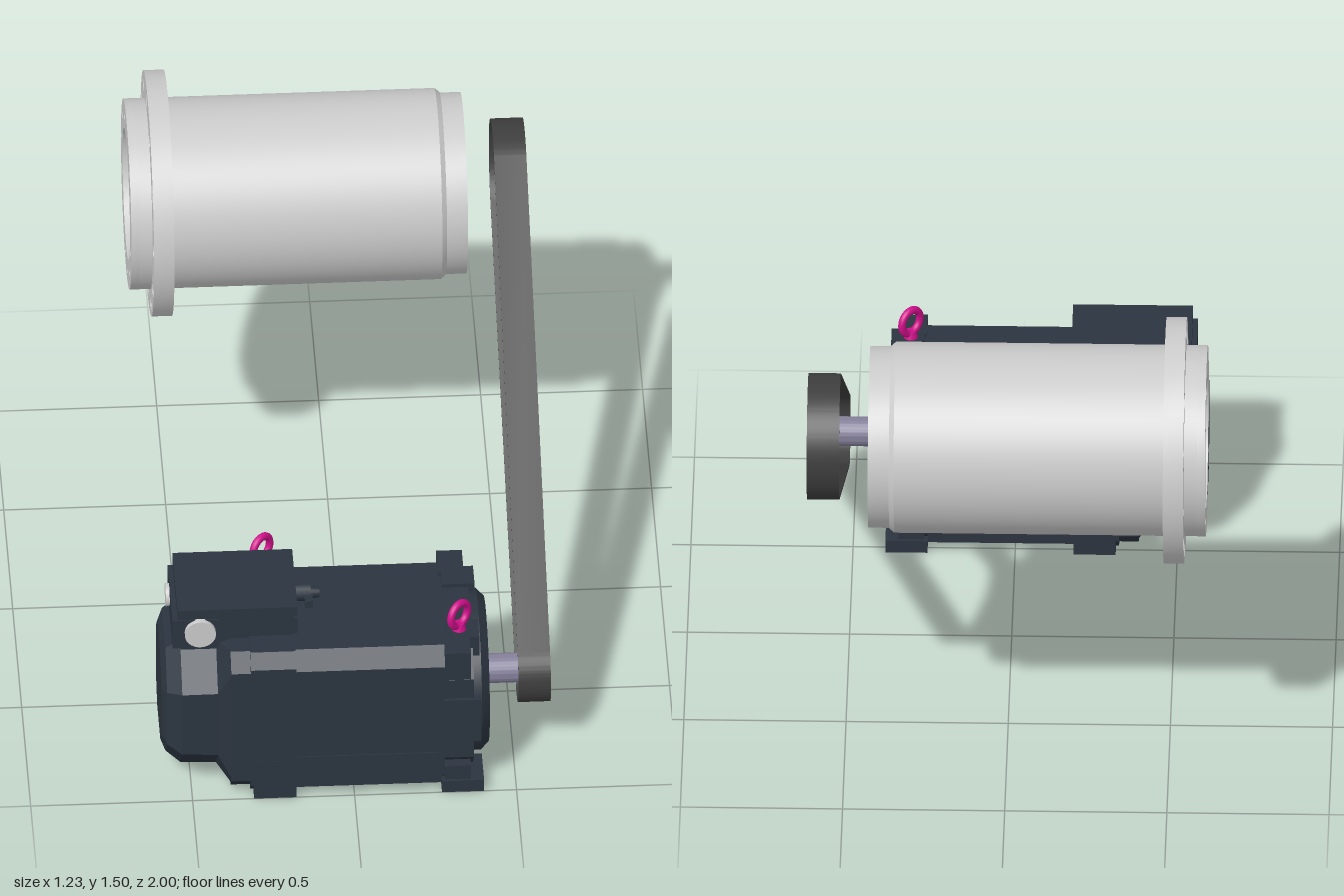
import * as THREE from 'three';
import { toCreasedNormals } from 'three/addons/utils/BufferGeometryUtils.js';

const material = (color) => new THREE.MeshStandardMaterial({ color });
const steel = material(0xcccccc);
const dark = material(0x2b343f);
const rubber = material(0x3e3e3e);
const pink = material(0xd0108a);
const shaftGrey = material(0x85809a);
const orange = material(0xe87a30);

function add(parent, name, geometry, mat, x = 0, y = 0, z = 0) {
  const mesh = new THREE.Mesh(geometry, mat);
  mesh.name = name;
  mesh.position.set(x, y, z);
  parent.add(mesh);
  return mesh;
}

// Box given by its limits along each axis
function block(parent, name, [x0, x1], [y0, y1], [z0, z1], mat = dark) {
  return add(parent, name, new THREE.BoxGeometry(x1 - x0, y1 - y0, z1 - z0), mat,
    (x0 + x1) / 2, (y0 + y1) / 2, (z0 + z1) / 2);
}

// Turned part about the x axis; profile points are [x, radius]
function turned(profile) {
  const points = profile.map(([x, r]) => new THREE.Vector2(r, x));
  const g = new THREE.LatheGeometry(points, 72).rotateZ(-Math.PI / 2);
  return toCreasedNormals(g, 0.5);
}

// Extrude a shape (u = -z, v = y) along x
function alongX(shape, x0, x1) {
  const g = new THREE.ExtrudeGeometry(shape, { depth: x1 - x0, bevelEnabled: false, curveSegments: 40 });
  return toCreasedNormals(g.rotateY(Math.PI / 2).translate(x0, 0, 0), 0.5);
}

function circle(type, u, v, r) {
  return new type().absarc(u, v, r, 0, Math.PI * 2, false);
}

// Ring with a circle of bolt holes
function boltRing(x0, x1, outer, inner, count, boltRadius, holeRadius, startDeg) {
  const shape = circle(THREE.Shape, 0, 0, outer);
  shape.holes.push(circle(THREE.Path, 0, 0, inner));
  for (let i = 0; i < count; i++) {
    const a = THREE.MathUtils.degToRad(startDeg + i * 360 / count);
    shape.holes.push(circle(THREE.Path, Math.cos(a) * boltRadius, Math.sin(a) * boltRadius, holeRadius));
  }
  return alongX(shape, x0, x1);
}

// Loft of chamfered squares; sections are [x, half width, chamfer]
function loft(sections) {
  const pos = [], index = [];
  for (const [x, h, c] of sections) {
    const k = h - c;
    const ring = [[h, -k], [h, k], [k, h], [-k, h], [-h, k], [-h, -k], [-k, -h], [k, -h]];
    for (const [u, v] of ring) pos.push(x, v, -u);
  }
  const last = (sections.length - 1) * 8;
  for (let s = 0; s < last; s += 8) {
    for (let j = 0; j < 8; j++) {
      const n = (j + 1) % 8;
      index.push(s + j, s + n, s + 8 + n, s + j, s + 8 + n, s + 8 + j);
    }
  }
  for (let j = 1; j < 7; j++) index.push(0, j + 1, j, last, last + j, last + j + 1);
  const g = new THREE.BufferGeometry();
  g.setAttribute('position', new THREE.Float32BufferAttribute(pos, 3));
  g.setIndex(index);
  return toCreasedNormals(g, 0.3);
}

function createSpindle() {
  const g = new THREE.Group();
  g.name = 'spindleHousing';
  g.position.set(0, 1.12, -0.62);
  // Hollow barrel with a narrower bore in the middle
  add(g, 'barrel', turned([
    [-0.59, 0.205], [-0.59, 0.295], [0.345, 0.295], [0.36, 0.283], [0.36, 0.19], [0.4, 0.19],
    [0.4, 0.173], [-0.53, 0.173], [-0.53, 0.205], [-0.59, 0.205],
  ]), steel);
  add(g, 'mountingFlange', boltRing(-0.55, -0.487, 0.38, 0.29, 12, 0.337, 0.025, -6), steel);
  add(g, 'rearFaceRing', boltRing(-0.615, -0.59, 0.295, 0.205, 12, 0.25, 0.012, 9), steel);
  add(g, 'noseRing', boltRing(0.36, 0.425, 0.28, 0.205, 6, 0.236, 0.018, 18), steel);
  return g;
}

function createBelt() {
  // Open belt around a large and a small circle
  const [au, av, ar] = [0.62, 1.12, 0.195];
  const [bu, bv, br] = [-0.735, 0.275, 0.11];
  const dir = Math.atan2(av - bv, au - bu);
  const spread = Math.acos((ar - br) / Math.hypot(au - bu, av - bv));
  const loop = (type, inset) => {
    const p = new type();
    p.absarc(au, av, ar - inset, dir - spread, dir + spread, false);
    p.absarc(bu, bv, br - inset, dir + spread, dir - spread + Math.PI * 2, false);
    p.closePath();
    return p;
  };
  const shape = loop(THREE.Shape, 0);
  shape.holes.push(loop(THREE.Path, 0.006));
  const mesh = new THREE.Mesh(alongX(shape, 0.515, 0.615), rubber);
  mesh.name = 'driveBelt';
  return mesh;
}

function createEyebolt(x, y, z) {
  const g = new THREE.Group();
  g.name = 'eyebolt';
  g.position.set(x, y, z);
  g.rotation.y = Math.PI / 4;
  const ring = add(g, 'eyeRing', new THREE.TorusGeometry(0.038, 0.012, 12, 32), pink, 0, 0.055, 0);
  ring.scale.y = 1.05;
  add(g, 'eyeFoot', new THREE.CylinderGeometry(0.016, 0.024, 0.03, 24), pink, 0, 0.008, 0);
  return g;
}

function createMotor() {
  const g = new THREE.Group();
  g.name = 'motor';
  g.position.set(0, 0.272, 0.735);

  add(g, 'statorBody', loft([[-0.38, 0.258, 0.05], [0.28, 0.258, 0.05]]), dark);
  add(g, 'bodyBand', loft([[-0.32, 0.264, 0.04], [-0.18, 0.264, 0.04]]), dark);
  add(g, 'endSection', loft([[0.28, 0.25, 0.1], [0.37, 0.25, 0.1]]), dark);
  add(g, 'endShield', turned([[0.35, 0], [0.35, 0.25], [0.395, 0.25], [0.42, 0.225], [0.42, 0]]), dark);
  add(g, 'fanCover', loft([
    [-0.59, 0.165, 0.08], [-0.575, 0.2, 0.1], [-0.53, 0.235, 0.12], [-0.42, 0.238, 0.12], [-0.38, 0.255, 0.06],
  ]), dark);

  // Bosses in the middle of each side and lugs at the corners of the drive end
  for (const s of [-1, 1]) {
    const span = (a, b) => (s > 0 ? [a, b] : [-b, -a]);
    block(g, 'sideBoss', [0.27, 0.39], [-0.08, 0.08], span(0.2, 0.262));
    block(g, 'topLug', [0.29, 0.39], [0.19, 0.262], span(0.09, 0.18));
    block(g, 'cornerLug', [0.28, 0.36], [0.16, 0.262], span(0.15, 0.262));
    block(g, 'frontFoot', [0.27, 0.4], [-0.272, -0.23], span(0.13, 0.265));
    block(g, 'footRib', [0.28, 0.36], [-0.23, -0.18], span(0.15, 0.255));
    block(g, 'rearFoot', [-0.31, -0.18], [-0.272, -0.13], span(0.14, 0.265));
    block(g, 'lowerRail', [-0.18, 0.27], [-0.235, -0.12], span(0.2, 0.262));
  }
  block(g, 'cornerBlock', [-0.53, -0.44], [0.11, 0.22], [-0.265, -0.16]);

  // Terminal box with lid, plugs and cable gland
  block(g, 'terminalBox', [-0.53, -0.18], [0.22, 0.36], [-0.135, 0.14]);
  block(g, 'terminalLid', [-0.54, -0.17], [0.345, 0.378], [-0.145, 0.15]);
  block(g, 'plugHousing', [-0.555, -0.41], [0.23, 0.335], [-0.14, 0.145]);
  block(g, 'boxStep', [-0.27, -0.17], [0.27, 0.33], [-0.13, 0.14]);
  const disc = new THREE.CylinderGeometry(0.048, 0.048, 0.02, 40);
  add(g, 'frontPlug', disc, steel, -0.47, 0.29, 0.15).rotation.x = Math.PI / 2;
  add(g, 'backPlug', disc, orange, -0.47, 0.29, -0.145).rotation.x = Math.PI / 2;
  const rear = add(g, 'rearPlug', disc, steel, -0.557, 0.29, -0.05);
  rear.rotation.z = Math.PI / 2;
  rear.scale.set(0.75, 1, 0.75);
  add(g, 'glandNut', new THREE.CylinderGeometry(0.027, 0.027, 0.05, 6), dark, -0.145, 0.3, -0.025)
    .rotation.z = Math.PI / 2;
  add(g, 'glandTip', new THREE.CylinderGeometry(0.016, 0.02, 0.03, 20), dark, -0.108, 0.3, -0.025)
    .rotation.z = -Math.PI / 2;
  block(g, 'glandBracket', [-0.14, -0.115], [0.28, 0.305], [-0.025, 0.03]);

  // Output shaft
  add(g, 'outputShaft', turned([[0.41, 0], [0.41, 0.046], [0.6, 0.046], [0.61, 0.04], [0.61, 0]]), shaftGrey);

  g.add(createEyebolt(0.33, 0.262, 0.135), createEyebolt(-0.26, 0.262, -0.235));
  return g;
}

export function createModel() {
  const model = new THREE.Group();
  model.name = 'beltDrive';
  model.add(createSpindle(), createBelt(), createMotor());
  return model;
}
